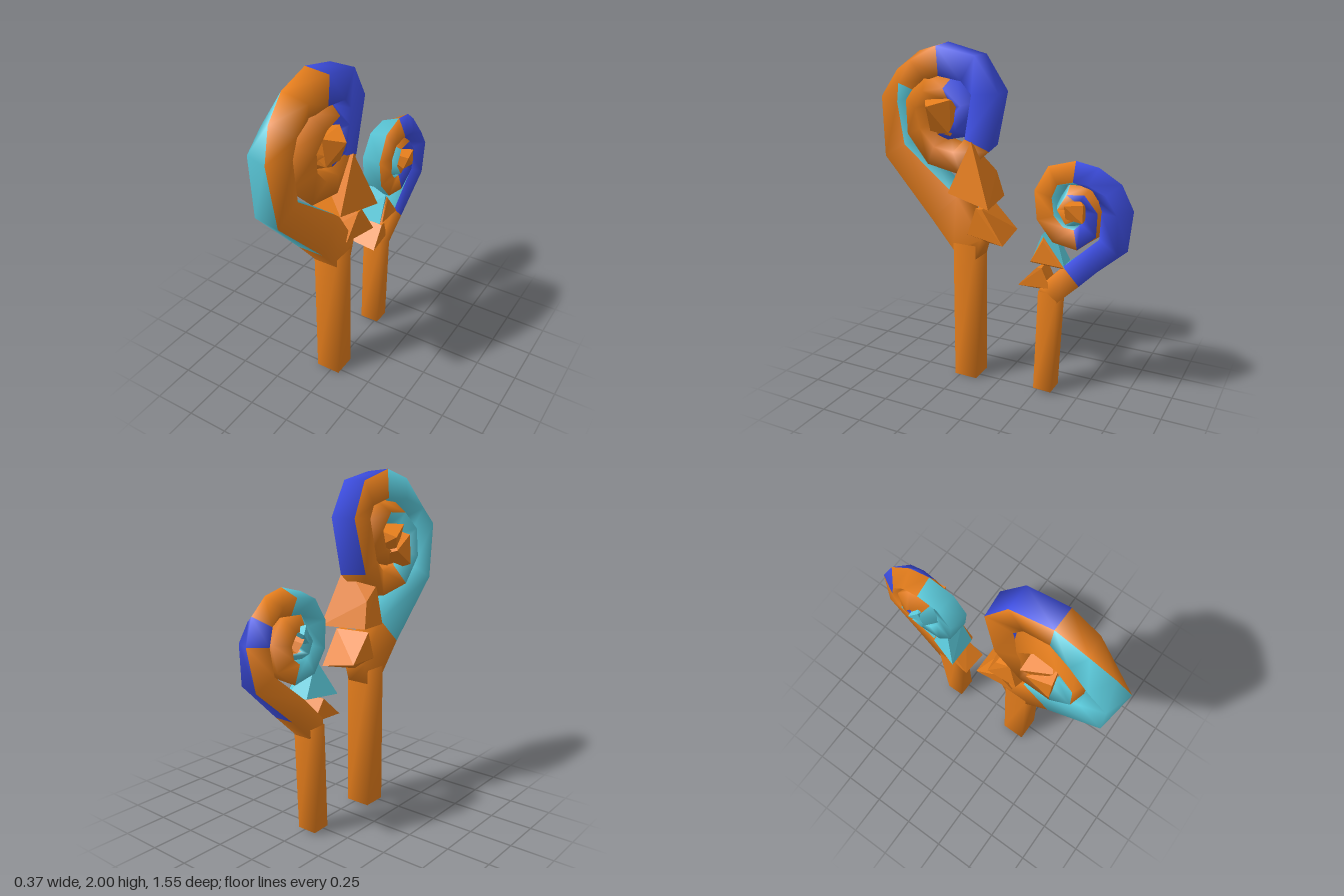
import * as THREE from 'three';
import { ConvexGeometry } from 'three/addons/geometries/ConvexGeometry.js';

const paint = (color) => new THREE.MeshStandardMaterial({ color, side: THREE.DoubleSide });
const mats = { orange: paint(0xe67e1c), cyan: paint(0x5bcbdc), blue: paint(0x3f50e6) };

function add(group, name, geometry, color) {
  const mesh = new THREE.Mesh(geometry, mats[color]);
  mesh.name = name;
  group.add(mesh);
}

// Square bar swept along rows of [z, y, radial half-thickness, half-width, x, twist in degrees].
// dir = 1 curls from +z over the top, dir = -1 is mirrored.
// pick(segment, face, z) colours faces: 0 outward, 1 +x, 2 inward, 3 -x (before twisting).
function bar(group, name, rows, dir, pick) {
  const pos = [], index = { orange: [], cyan: [], blue: [] };
  const last = rows.length - 1;
  rows.forEach(([z, y, r, w, x, twist = 0], i) => {
    const a = rows[Math.max(i - 1, 0)], b = rows[Math.min(i + 1, last)];
    const t = new THREE.Vector2(b[0] - a[0], b[1] - a[1]).normalize();
    for (let k = 0; k < 4; k++) {
      const ang = (k - 0.5) * Math.PI / 2 + THREE.MathUtils.degToRad(twist);
      const n = dir * r * Math.SQRT2 * Math.cos(ang);
      pos.push(x + w * Math.SQRT2 * Math.sin(ang), y - t.x * n, z + t.y * n);
    }
  });
  const tri = (list, a, b, c) => (dir > 0 ? list.push(a, b, c) : list.push(a, c, b));
  for (let i = 0; i < last; i++) {
    const mz = (rows[i][0] + rows[i + 1][0]) / 2;
    for (let k = 0; k < 4; k++) {
      const list = index[pick(i, k, mz)];
      const a = i * 4 + k, b = i * 4 + (k + 1) % 4;
      tri(list, a, b, b + 4);
      tri(list, a, b + 4, a + 4);
    }
  }
  // end caps
  for (let k = 1; k < 3; k++) {
    tri(index.orange, 0, k + 1, k);
    tri(index.orange, last * 4, last * 4 + k, last * 4 + k + 1);
  }
  const whole = new THREE.BufferGeometry();
  whole.setAttribute('position', new THREE.Float32BufferAttribute(pos, 3));
  whole.setIndex([...index.orange, ...index.cyan, ...index.blue]);
  whole.computeVertexNormals();
  for (const color in index) {
    if (!index[color].length) continue;
    const part = whole.clone();
    part.setIndex(index[color]);
    add(group, `${name} ${color}`, part, color);
  }
}

// Faceted solid from [x, y, z] corners
function facet(group, name, color, corners) {
  add(group, name, new ConvexGeometry(corners.map((p) => new THREE.Vector3(...p))), color);
}

function largeFrond() {
  const g = new THREE.Group();
  g.name = 'large frond';
  bar(g, 'large stem', [
    [0.21, 0, 0.072, 0.075, -0.02], [0.205, 0.86, 0.072, 0.075, -0.02],
  ], 1, () => 'orange');
  bar(g, 'large coil', [
    [0.2, 0.78, 0.065, 0.07, -0.02], [0.188, 0.86, 0.1, 0.074, -0.02],
    [0.335, 1.065, 0.115, 0.075, -0.02], [0.665, 1.38, 0.085, 0.075, -0.035, -6],
    [0.678, 1.67, 0.076, 0.076, -0.042, -20], [0.61, 1.775, 0.07, 0.074, -0.035, -45],
    [0.5, 1.87, 0.07, 0.072, -0.015, -70], [0.35, 1.915, 0.082, 0.07, 0.005, -85],
    [0.16, 1.875, 0.082, 0.072, 0, -90], [0.07, 1.74, 0.08, 0.075, -0.015, -95],
    [0.13, 1.46, 0.078, 0.08, -0.025, -100], [0.25, 1.35, 0.07, 0.082, -0.03, -100],
    [0.41, 1.385, 0.07, 0.088, -0.035, -105], [0.51, 1.51, 0.07, 0.088, -0.035, -110],
    [0.515, 1.65, 0.07, 0.085, -0.025, -120], [0.43, 1.75, 0.066, 0.085, -0.01, -130],
    [0.3, 1.765, 0.064, 0.08, -0.01, -135], [0.205, 1.67, 0.062, 0.08, -0.02, -140],
    [0.24, 1.545, 0.058, 0.08, -0.02, -145], [0.34, 1.52, 0.055, 0.08, -0.025, -150],
    [0.4, 1.6, 0.05, 0.08, -0.03, -150],
  ], 1, (i, k, z) => {
    if (i < 2 || i === 10 || i === 11 || i > 18) return 'orange';
    if (i === 2) return k === 1 ? 'orange' : 'cyan';
    if (z > 0.35) return k === 1 || (k === 2 && i > 4) || (k === 3 && i > 11) ? 'orange' : 'cyan';
    return k === 0 || (k === 1 && i > 14) ? 'orange' : 'blue';
  });
  // coil heart, pointed on both sides
  facet(g, 'large heart', 'orange', [
    [0.18, 1.67, 0.365], [0.08, 1.7, 0.27], [0.08, 1.69, 0.43], [0.08, 1.52, 0.4],
    [0.08, 1.5, 0.27], [-0.13, 1.69, 0.42], [-0.12, 1.5, 0.36], [-0.185, 1.63, 0.27],
  ]);
  facet(g, 'large heart side', 'orange', [
    [-0.17, 1.46, 0.44], [-0.17, 1.55, 0.3], [-0.16, 1.63, 0.44],
    [-0.06, 1.42, 0.42], [-0.06, 1.66, 0.42], [-0.06, 1.52, 0.28],
  ]);
  facet(g, 'large upper leaf', 'orange', [
    [0.08, 1.48, 0.14], [0.09, 1.17, 0.29], [0.15, 1.12, 0],
    [-0.12, 1.36, 0.17], [-0.13, 1.13, 0.22], [-0.14, 1.13, 0.04], [-0.12, 1.28, 0.08],
  ]);
  facet(g, 'large lower leaf', 'orange', [
    [0.09, 1.1, 0.11], [0.09, 1.1, 0.07], [0.06, 0.93, 0.18], [0.09, 0.9, -0.06],
    [-0.12, 1.1, 0.1], [-0.1, 0.93, 0.18], [-0.13, 0.94, -0.05], [-0.02, 0.87, 0.1],
  ]);
  return g;
}

function smallFrond() {
  const g = new THREE.Group();
  g.name = 'small frond';
  bar(g, 'small stem', [
    [-0.29, 0.015, 0.055, 0.06, -0.03], [-0.314, 0.64, 0.058, 0.06, -0.03],
  ], 1, () => 'orange');
  bar(g, 'small coil', [
    [-0.313, 0.58, 0.05, 0.055, -0.03], [-0.32, 0.635, 0.068, 0.06, -0.03],
    [-0.455, 0.77, 0.07, 0.06, -0.02], [-0.675, 0.97, 0.066, 0.062, -0.01, 10],
    [-0.69, 1.16, 0.06, 0.062, -0.005, 28], [-0.645, 1.26, 0.056, 0.06, -0.005, 42],
    [-0.555, 1.325, 0.055, 0.06, -0.005, 58], [-0.46, 1.345, 0.058, 0.06, -0.01, 68],
    [-0.345, 1.32, 0.058, 0.06, -0.015, 75], [-0.29, 1.22, 0.058, 0.062, -0.02, 80],
    [-0.3, 1.09, 0.056, 0.064, -0.025, 85], [-0.37, 1.0, 0.056, 0.066, -0.03, 90],
    [-0.475, 0.98, 0.056, 0.068, -0.03, 95], [-0.555, 1.045, 0.056, 0.07, -0.03, 100],
    [-0.57, 1.15, 0.054, 0.07, -0.03, 110], [-0.515, 1.23, 0.05, 0.072, -0.03, 115],
    [-0.435, 1.225, 0.046, 0.072, -0.035, 120], [-0.385, 1.15, 0.044, 0.072, -0.035, 125],
    [-0.425, 1.08, 0.04, 0.072, -0.035, 130], [-0.49, 1.11, 0.035, 0.072, -0.035, 135],
  ], -1, (i, k, z) => {
    if (i < 2) return 'orange';
    if (i === 2) return ['blue', 'blue', 'cyan', 'orange'][k];
    if (z > -0.46) return k === 0 ? 'orange' : 'cyan';
    if (i === 4 && k === 3) return 'blue';
    return k < 2 ? 'blue' : 'orange';
  });
  // coil heart
  facet(g, 'small heart', 'orange', [
    [0.11, 1.19, -0.43], [0.09, 1.2, -0.53], [0.09, 1.1, -0.53], [0.08, 1.11, -0.43],
    [-0.12, 1.2, -0.42], [-0.12, 1.1, -0.5], [-0.14, 1.15, -0.48],
  ]);
  facet(g, 'small heart side', 'cyan', [
    [-0.16, 1.2, -0.49], [-0.13, 1.24, -0.44], [-0.13, 1.14, -0.42],
    [-0.06, 1.22, -0.49], [-0.06, 1.22, -0.42], [-0.06, 1.12, -0.42],
  ]);
  // upper leaf: cyan body with an orange side plate
  facet(g, 'small upper leaf', 'cyan', [
    [0.045, 0.99, -0.28], [0.045, 0.81, -0.42], [0.045, 0.82, -0.215],
    [-0.07, 1.02, -0.3], [-0.09, 0.82, -0.4], [-0.15, 0.82, -0.215],
  ]);
  facet(g, 'small upper leaf side', 'orange', [
    [0.046, 0.98, -0.29], [0.046, 0.81, -0.42], [0.046, 0.82, -0.215],
    [0.055, 0.96, -0.29], [0.055, 0.82, -0.4], [0.06, 0.83, -0.22],
  ]);
  facet(g, 'small lower leaf', 'orange', [
    [0.04, 0.79, -0.25], [0.04, 0.79, -0.28], [0.03, 0.67, -0.33], [0.05, 0.67, -0.14],
    [-0.09, 0.79, -0.26], [-0.08, 0.67, -0.33], [-0.11, 0.68, -0.15], [-0.02, 0.64, -0.28],
  ]);
  return g;
}

export function createModel() {
  const model = new THREE.Group();
  model.name = 'coiled fronds';
  model.add(largeFrond(), smallFrond());
  return model;
}
